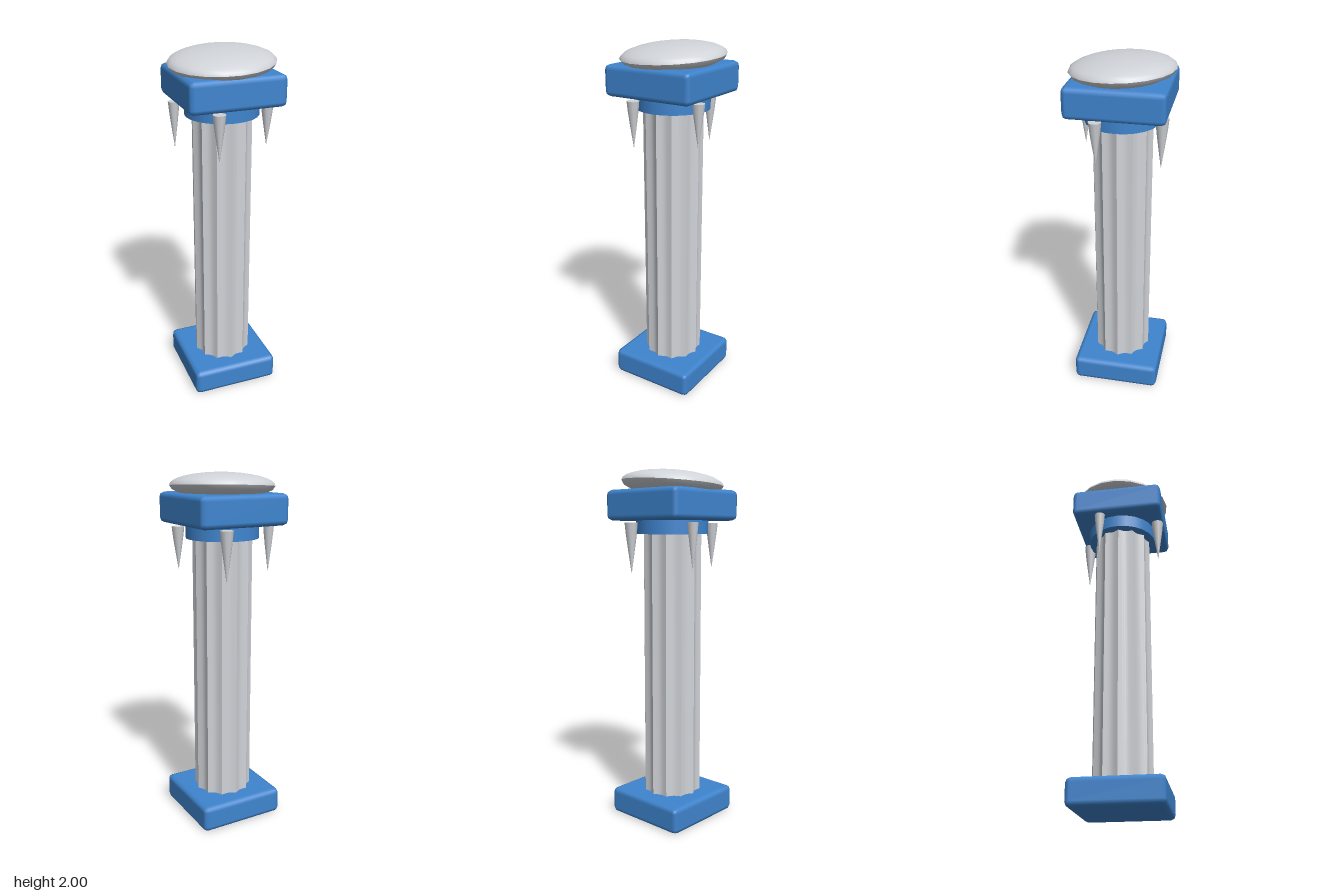
import * as THREE from 'three';
import { toCreasedNormals } from 'three/addons/utils/BufferGeometryUtils.js';
import { RoundedBoxGeometry } from 'three/addons/geometries/RoundedBoxGeometry.js';

export function createModel() {
  const model = new THREE.Group();
  const blue = new THREE.MeshStandardMaterial({ color: 0x3f85cf });
  blue.name = 'blue';
  const paleGrey = new THREE.MeshStandardMaterial({ color: 0xd0d3d8 });
  paleGrey.name = 'paleGrey';

  const add = (name, geometry, material, x = 0, y = 0, z = 0, parent = model) => {
    const mesh = new THREE.Mesh(geometry, material);
    mesh.name = name;
    mesh.position.set(x, y, z);
    parent.add(mesh);
    return mesh;
  };

  // Bevelled base and capital slabs
  add('base', new RoundedBoxGeometry(0.51, 0.15, 0.51, 1, 0.028), blue, 0, 0.076, 0);
  add('capital', new RoundedBoxGeometry(0.53, 0.168, 0.53, 1, 0.028), blue, 0, 1.809, 0);

  // Neck ring under the capital
  add('neckRing', new THREE.CylinderGeometry(0.203, 0.203, 0.09, 24), blue, 0, 1.695, 0);

  // Shaft with twelve concave flutes meeting in sharp ridges
  const flutes = 12, steps = 6, outline = [];
  for (let i = 0; i < flutes * steps; i++) {
    const a = (i / (flutes * steps)) * Math.PI * 2;
    const r = 0.166 - 0.017 * Math.sin(((i % steps) / steps) * Math.PI);
    outline.push(new THREE.Vector2(Math.cos(a) * r, Math.sin(a) * r));
  }
  const shaft = new THREE.ExtrudeGeometry(new THREE.Shape(outline), { depth: 1.56, bevelEnabled: false });
  shaft.rotateX(-Math.PI / 2);
  add('flutedShaft', toCreasedNormals(shaft, 0.5), paleGrey, 0, 0.14, 0);

  // Icicles, one hanging below each side of the capital: [x, z, tip height, radius]
  const icicles = new THREE.Group();
  icicles.name = 'icicles';
  model.add(icicles);
  for (const [x, z, tip, r] of [
    [-0.1, 0.23, 1.463, 0.035],
    [0.222, 0.1, 1.48, 0.035],
    [0.1, -0.225, 1.437, 0.037],
    [-0.238, -0.1, 1.46, 0.031],
  ]) {
    const h = 1.714 - tip;
    const cone = new THREE.CylinderGeometry(r, 0.001, h, 10, 5);
    const p = cone.attributes.position;
    for (let i = 0; i < p.count; i++) {
      const t = p.getY(i) / h + 0.5;
      const bulge = 1 + 0.35 * t * (1 - t);
      p.setX(i, p.getX(i) * bulge);
      p.setZ(i, p.getZ(i) * bulge);
    }
    add('icicle', cone, paleGrey, x, tip + h / 2, z, icicles);
  }

  // Snow cap: a slightly tilted cushion with a crease around its rim
  const snow = new THREE.Group();
  snow.name = 'snowCap';
  snow.position.y = 1.928;
  snow.rotation.set(0.055, 0, 0.04);
  model.add(snow);
  const dome = [];
  for (let i = 0; i <= 8; i++) {
    const a = (i / 8) * Math.PI / 2;
    dome.push(new THREE.Vector2(i === 8 ? 0 : 0.29 * Math.cos(a), 0.072 * Math.sin(a)));
  }
  const under = [[0, -0.06], [0.15, -0.054], [0.23, -0.042], [0.275, -0.022], [0.29, 0]]
    .map(([x, y]) => new THREE.Vector2(x, y));
  for (const [name, profile] of [['snowTop', dome], ['snowUnderside', under]]) {
    add(name, new THREE.LatheGeometry(profile, 20), paleGrey, 0, 0, 0, snow).scale.z = 0.97;
  }

  return model;
}
